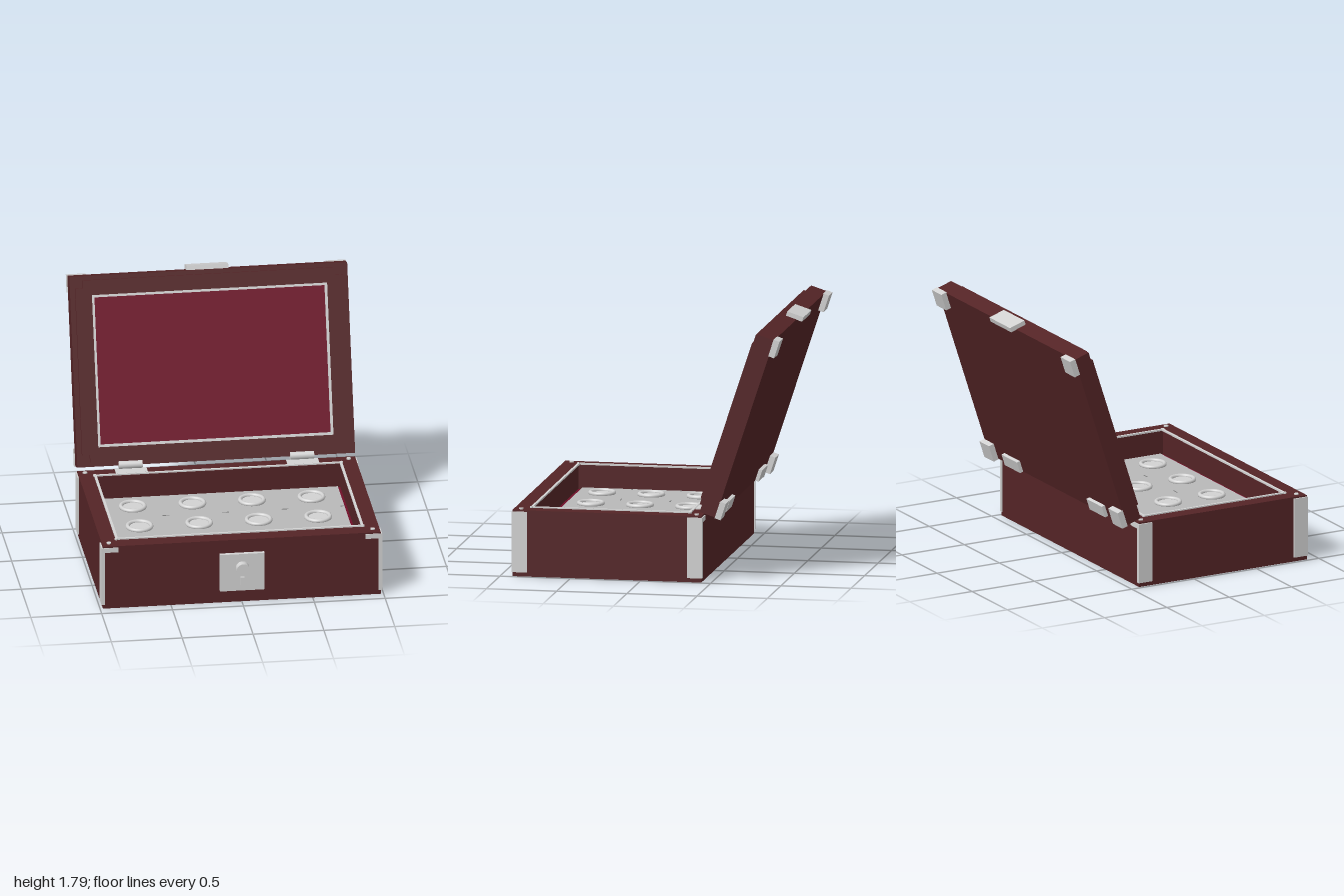
import * as THREE from 'three';

const mat = (name, color) => {
  const m = new THREE.MeshStandardMaterial({ color });
  m.name = name;
  return m;
};

export function createModel() {
  const wood = mat('dark red wood', 0x542426);
  const felt = mat('crimson felt', 0x700f28);
  const silver = mat('silver', 0xd2d2d2);
  const trayGrey = mat('tray grey', 0xb8b8b8);
  const slotGrey = mat('slot grey', 0x858585);

  const add = (parent, name, geo, material, x = 0, y = 0, z = 0) => {
    const mesh = new THREE.Mesh(geo, material);
    mesh.name = name;
    mesh.position.set(x, y, z);
    parent.add(mesh);
    return mesh;
  };
  // Box given by its min and max on each axis
  const box = (parent, name, material, x0, x1, y0, y1, z0, z1) =>
    add(parent, name, new THREE.BoxGeometry(x1 - x0, y1 - y0, z1 - z0), material,
      (x0 + x1) / 2, (y0 + y1) / 2, (z0 + z1) / 2);
  // Rectangular frame in the xy plane, extruded along z; notch cuts square corners
  const frame = (w, h, iw, ih, depth, notch = 0) => {
    const a = w / 2, b = h / 2, n = notch;
    const pts = n
      ? [[-a + n, -b], [a - n, -b], [a - n, -b + n], [a, -b + n], [a, b - n], [a - n, b - n],
        [a - n, b], [-a + n, b], [-a + n, b - n], [-a, b - n], [-a, -b + n], [-a + n, -b + n]]
      : [[-a, -b], [a, -b], [a, b], [-a, b]];
    const v = (list) => list.map(([x, y]) => new THREE.Vector2(x, y));
    const shape = new THREE.Shape(v(pts));
    const c = iw / 2, d = ih / 2;
    shape.holes.push(new THREE.Path(v([[-c, -d], [-c, d], [c, d], [c, -d]])));
    return new THREE.ExtrudeGeometry(shape, { depth, bevelEnabled: false });
  };

  const model = new THREE.Group();
  model.name = 'presentationCase';

  // Base: hollow wooden box with felt floor
  const base = new THREE.Group();
  base.name = 'base';
  model.add(base);
  const zc = 0.2425;
  add(base, 'baseWalls', frame(1.96, 1.345, 1.72, 1.11, 0.47).rotateX(-Math.PI / 2), wood, 0, 0, zc);
  box(base, 'baseFloor', wood, -0.87, 0.87, 0, 0.04, zc - 0.56, zc + 0.56);
  box(base, 'feltFloor', felt, -0.862, 0.862, 0.04, 0.295, zc - 0.557, zc + 0.557);
  add(base, 'rimTrim', frame(1.75, 1.14, 1.715, 1.105, 0.012).rotateX(-Math.PI / 2), silver, 0, 0.467, 0.235);
  for (const x of [-0.87, 0.87]) for (const z of [-0.33, 0.80])
    add(base, 'trimCorner', new THREE.CylinderGeometry(0.012, 0.012, 0.014, 12), silver, x, 0.473, z);
  for (const x of [-0.93, 0.93]) for (const z of [-0.388, 0.86])
    add(base, 'rimStud', new THREE.CylinderGeometry(0.016, 0.016, 0.01, 16), silver, x, 0.473, z);

  // Tray with three rows of four round seats
  const tray = new THREE.Group();
  tray.name = 'tray';
  model.add(tray);
  const trayTop = 0.31;
  box(tray, 'trayPlate', trayGrey, -0.84, 0.84, 0.29, trayTop, -0.29, 0.765);
  for (const z of [-0.115, 0.235, 0.585]) for (const x of [-0.63, -0.21, 0.21, 0.63]) {
    add(tray, 'seatRing', new THREE.TorusGeometry(0.083, 0.015, 10, 36).rotateX(Math.PI / 2),
      silver, x, trayTop + 0.008, z);
    add(tray, 'seatDisc', new THREE.CylinderGeometry(0.075, 0.075, 0.008, 32), silver, x, trayTop + 0.002, z);
  }
  for (const z of [0.06, 0.41]) for (const x of [-0.825, -0.42, 0, 0.42, 0.825]) {
    const half = Math.abs(x) > 0.8 ? 0.013 : 0.025;
    box(tray, 'traySlot', slotGrey, x - half, x + half, trayTop - 0.002, trayTop + 0.002, z - 0.004, z + 0.004);
  }

  // Corner brackets of the base
  for (const s of [-1, 1]) for (const [z0, z1, face] of [[-0.438, -0.33, -0.438], [0.81, 0.92, 0.92]]) {
    const inner = face > 0 ? 0.91 : -0.428;
    const xs = [0.965 * s, 0.99 * s].sort((a, b) => a - b);
    const xt = [0.872 * s, 0.97 * s].sort((a, b) => a - b);
    box(base, 'cornerBracket', silver, xs[0], xs[1], 0.03, 0.46, z0, z1);
    box(base, 'cornerBracketTab', silver, xt[0], xt[1], 0.425, 0.46, Math.min(face, inner), Math.max(face, inner));
  }

  // Lock plate, knob and keyhole
  const lock = new THREE.Group();
  lock.name = 'lock';
  model.add(lock);
  box(lock, 'lockPlate', silver, -0.157, 0.157, 0.095, 0.372, 0.91, 0.945);
  add(lock, 'lockKnob', new THREE.CylinderGeometry(0.047, 0.047, 0.06, 32).rotateX(Math.PI / 2), silver, 0, 0.27, 0.97);
  box(lock, 'keyTab', silver, -0.013, 0.013, 0.14, 0.2, 0.94, 0.96);

  // Lid, leaning back: local y runs up the lid, local z towards its inner face
  const lid = new THREE.Group();
  lid.name = 'lid';
  lid.position.set(0, 0.465, -0.53);
  lid.rotation.x = -0.317;
  model.add(lid);
  const H = 1.34;
  box(lid, 'lidPanel', wood, -0.98, 0.98, 0, H, 0, 0.118);
  add(lid, 'lidLip', frame(1.89, 1.28, 1.66, 1.07, 0.03, 0.055), wood, 0, 0.672, 0.116);
  add(lid, 'lidTrim', frame(1.66, 1.07, 1.625, 1.035, 0.026), silver, 0, 0.672, 0.116);
  box(lid, 'lidFelt', felt, -0.82, 0.82, 0.148, 1.196, 0.115, 0.122);
  box(lid, 'lidClasp', silver, -0.147, 0.147, H - 0.002, 1.372, -0.042, 0.08);
  for (const s of [-1, 1]) {
    for (const [y0, y1] of [[-0.005, 0.12], [1.22, 1.345]])
      box(lid, 'lidCorner', silver, s * 0.917 - 0.068, s * 0.917 + 0.068, y0, y1, -0.04, 0.004);
    box(lid, 'lidHingePlate', silver, s * 0.605 - 0.11, s * 0.605 + 0.11, 0.0, 0.085, -0.025, 0.004);
  }

  // Hinges
  for (const s of [-1, 1]) {
    const x = s * 0.605;
    box(model, 'hingeLeaf', silver, x - 0.112, x + 0.112, 0.468, 0.478, -0.42, -0.338);
    add(model, 'hingeBarrel', new THREE.CylinderGeometry(0.028, 0.028, 0.168, 20).rotateZ(Math.PI / 2),
      silver, x, 0.502, -0.425);
  }
  return model;
}
